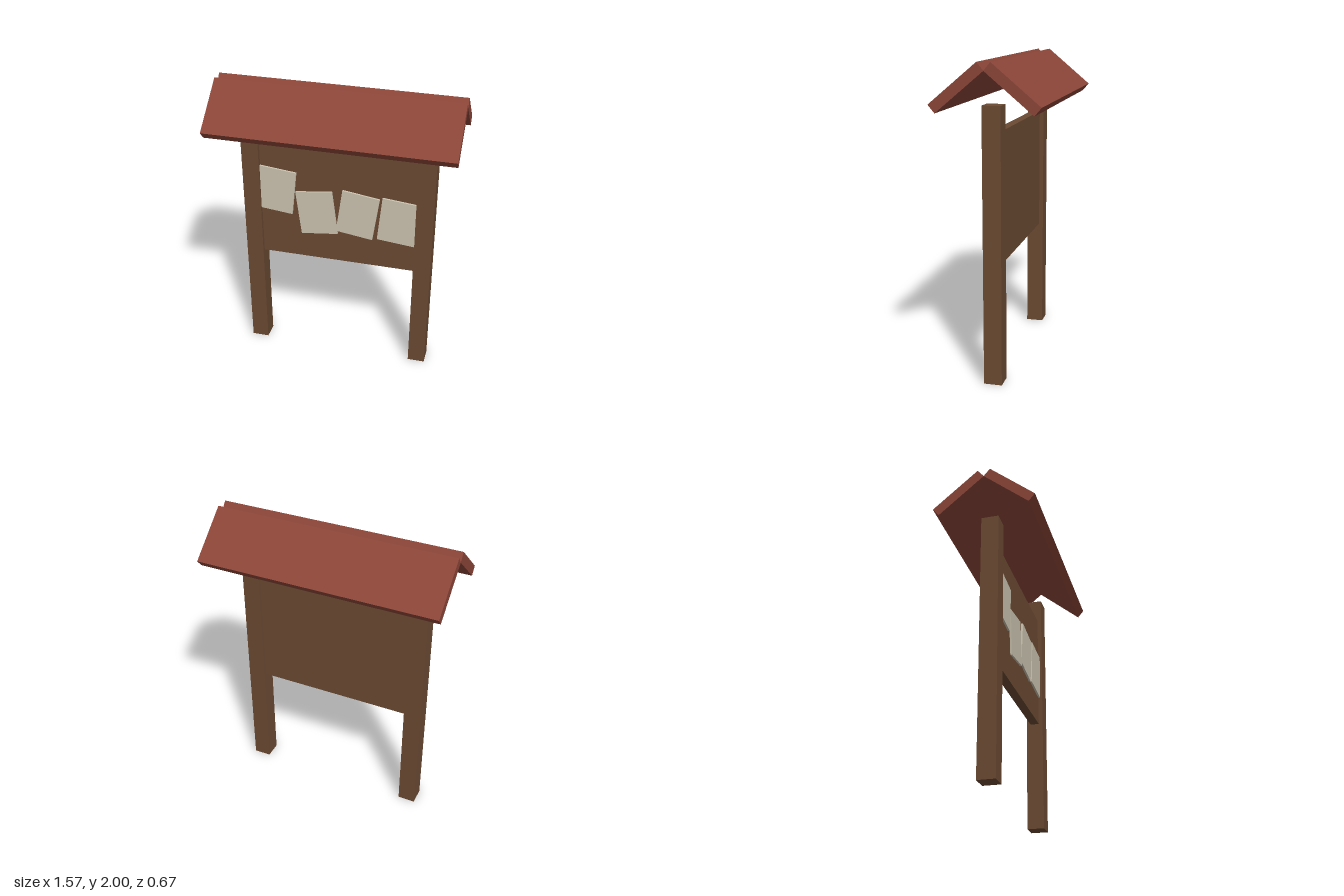
import * as THREE from 'three';

const wood = new THREE.MeshStandardMaterial({ name: 'brown wood', color: 0x6b4a32 });
const red = new THREE.MeshStandardMaterial({ name: 'red roof', color: 0x8b4538 });
const cream = new THREE.MeshStandardMaterial({ name: 'cream paper', color: 0xcbc3b0 });

function box(name, material, size, position) {
  const mesh = new THREE.Mesh(new THREE.BoxGeometry(...size), material);
  mesh.name = name;
  mesh.position.set(...position);
  return mesh;
}

export function createModel() {
  const board = new THREE.Group();
  board.name = 'noticeBoard';

  for (const [side, s] of [['left', 1], ['right', -1]]) {
    board.add(box(side + 'Post', wood, [0.115, 1.74, 0.115], [s * 0.58, 0.87, 0]));
  }

  // Back board between the posts
  board.add(box('panel', wood, [1.05, 0.825, 0.06], [0, 1.163, 0]));

  // Two tilted roof slabs whose lower edges meet at the ridge
  for (const [side, s] of [['front', 1], ['back', -1]]) {
    const slab = box(side + 'Roof', red, [1.574, 0.064, 0.382], [0, 1.8525, s * 0.1665]);
    slab.rotation.x = s * THREE.MathUtils.degToRad(40);
    board.add(slab);
  }

  // Pinned notices: x, y, tilt in degrees; the outer two tuck into the posts
  const notices = [
    [-0.416, 1.247, -6],
    [-0.141, 1.11, 7],
    [0.136, 1.132, -8],
    [0.409, 1.117, -5.5],
  ];
  notices.forEach(([x, y, tilt], i) => {
    const sheet = box('notice' + (i + 1), cream, [0.25, 0.315, 0.02], [x, y, 0.033]);
    sheet.rotation.z = THREE.MathUtils.degToRad(tilt);
    board.add(sheet);
  });

  return board;
}
